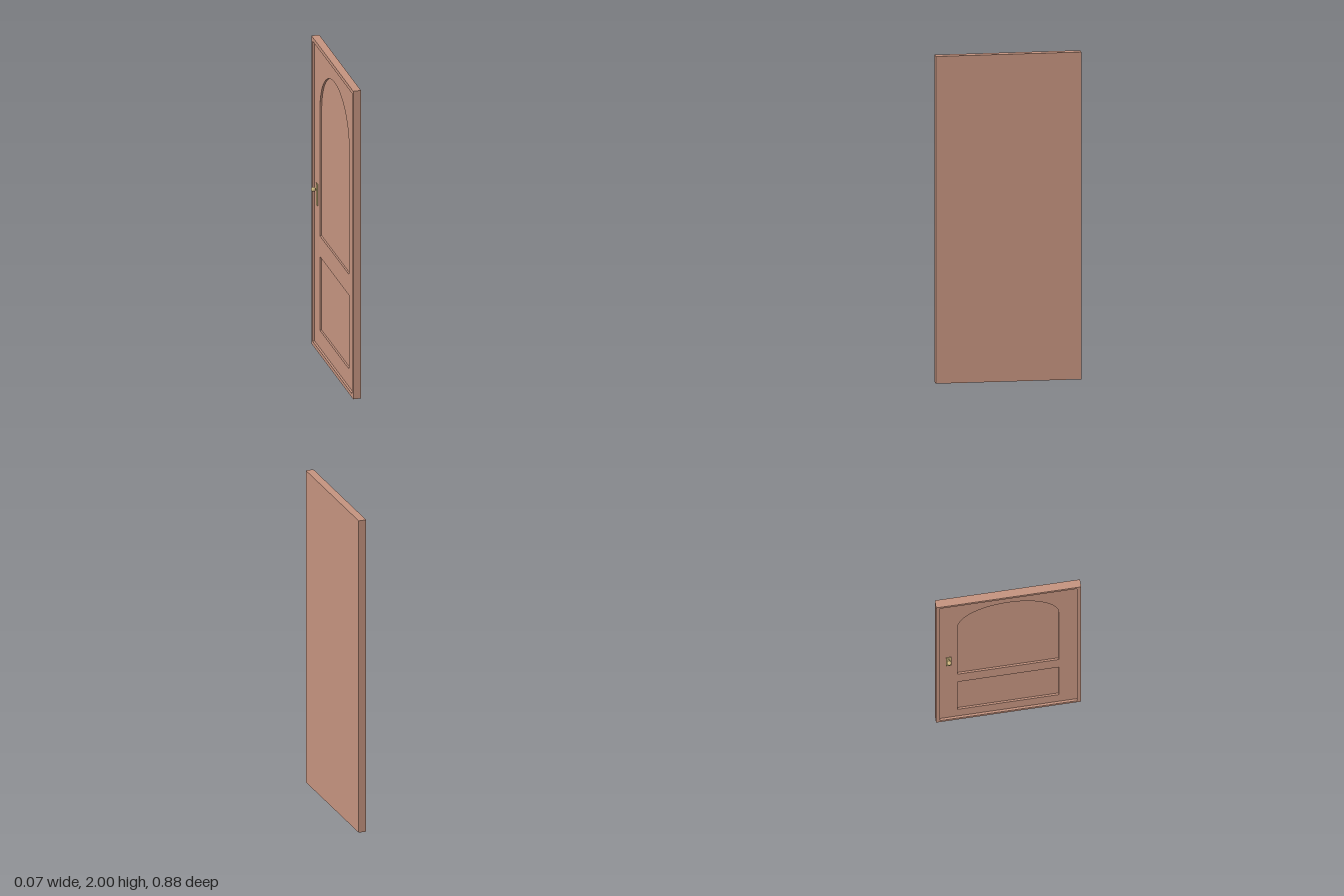
import * as THREE from 'three';

const W = 0.438, H = 2;           // half width and height of the door
const BACK = 0.0365, FACE = -0.0115; // x of the flat side and of the raised rim
const PANEL = 0.002, SUNK = 0.013;   // x of the leaf face and of the sunken fields

const wood = new THREE.MeshStandardMaterial({ color: 0xc4937f });
const brass = new THREE.MeshStandardMaterial({ color: 0xc9b27c });

// Rectangle outline in (z, y)
function rect(half, y0, y1, Type = THREE.Shape) {
  const s = new Type();
  s.moveTo(-half, y0);
  s.lineTo(half, y0);
  s.lineTo(half, y1);
  s.lineTo(-half, y1);
  s.closePath();
  return s;
}

// Extrudes a (z, y) shape from x = from towards -x, ending at x = to
function layer(name, shape, from, to, material) {
  const geo = new THREE.ExtrudeGeometry(shape, {
    depth: from - to, bevelEnabled: false, curveSegments: 32,
  });
  geo.rotateY(-Math.PI / 2);
  geo.translate(from, 0, 0);
  const mesh = new THREE.Mesh(geo, material);
  mesh.name = name;
  return mesh;
}

export function createModel() {
  const door = new THREE.Group();
  door.name = 'door';

  // Solid back slab
  door.add(layer('slab', rect(W, 0, H), BACK, SUNK, wood));

  // Leaf with a rectangular lower field and an arched upper field
  const leaf = rect(W, 0, H);
  const r = 0.305, spring = 1.57;
  const arch = new THREE.Path();
  arch.moveTo(-r, 0.753);
  arch.lineTo(r, 0.753);
  arch.lineTo(r, spring);
  arch.absarc(0, spring, r, 0, Math.PI, false);
  arch.closePath();
  leaf.holes.push(rect(r, 0.14, 0.618, THREE.Path), arch);
  door.add(layer('panelledLeaf', leaf, SUNK, PANEL, wood));

  // Raised rim round the edge
  const rim = rect(W, 0, H);
  rim.holes.push(rect(W - 0.024, 0.025, H - 0.025, THREE.Path));
  door.add(layer('rim', rim, PANEL, FACE, wood));

  // Handle: back plate, stem and round knob
  const handle = new THREE.Group();
  handle.name = 'handle';
  handle.position.z = -0.36;
  handle.add(layer('handlePlate', rect(0.017, 0.93, 1.07), PANEL, PANEL - 0.004, brass));

  const stem = new THREE.Mesh(new THREE.CylinderGeometry(0.006, 0.006, 0.024, 20), brass);
  stem.name = 'stem';
  stem.rotation.z = Math.PI / 2;
  stem.position.set(-0.0095, 1.035, 0);
  const knob = new THREE.Mesh(new THREE.SphereGeometry(0.014, 32, 20), brass);
  knob.name = 'knob';
  knob.position.set(-0.0225, 1.035, 0);
  handle.add(stem, knob);
  door.add(handle);

  return door;
}
